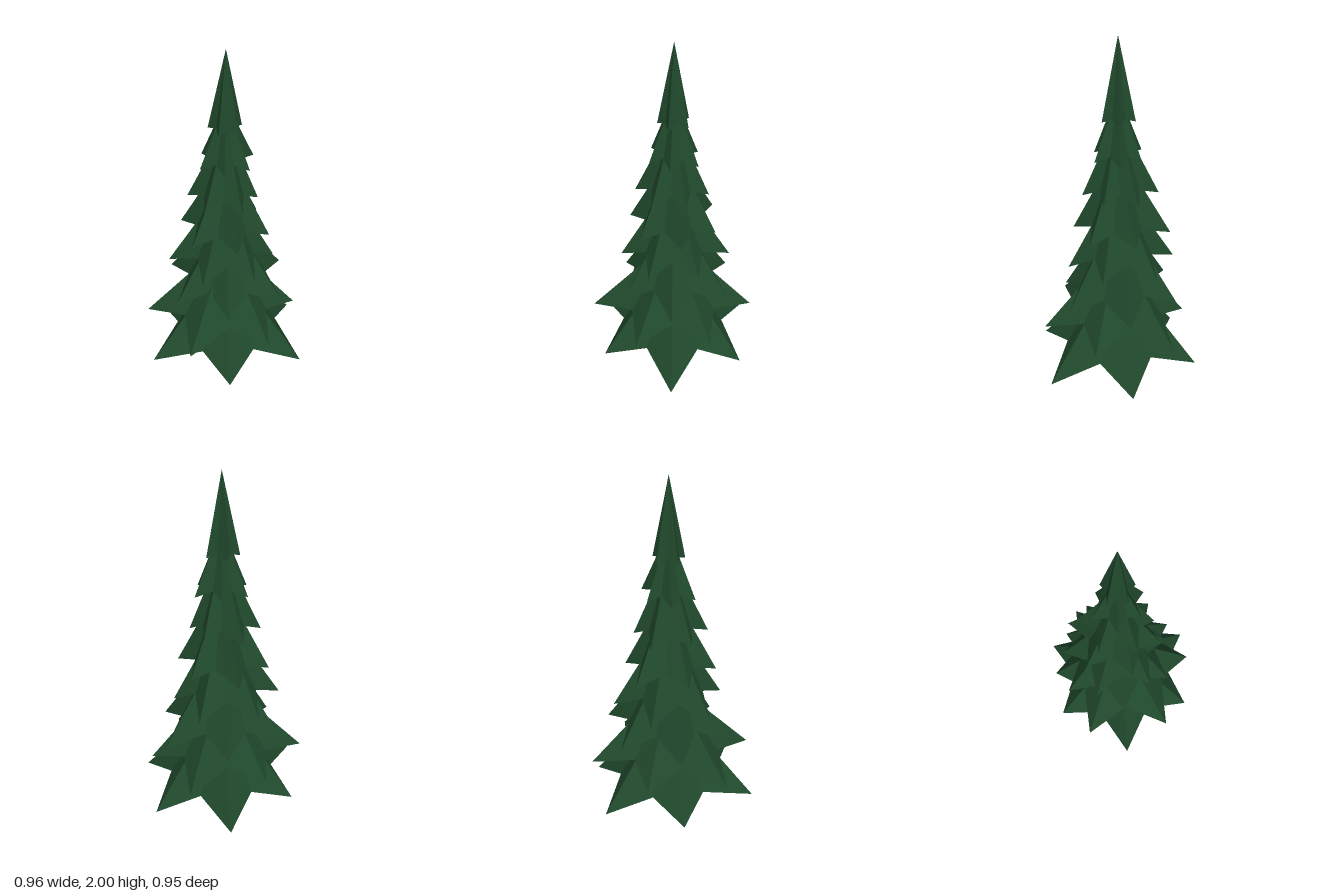
import * as THREE from 'three';

const AXIS = { x: 0.022, z: -0.025 };

// Each tier: tip height, valley lift, apex height, first tip angle (degrees), tip radii
const TIERS = [
  { y: 0.03, lift: 0.09, top: 0.62, turn: 18, radii: [0.478, 0.512, 0.475, 0.526, 0.459, 0.496], tipY: [0.005, 0.005, 0.04, 0.055, 0.04, 0.03] },
  { y: 0.25, lift: 0.075, top: 0.76, turn: 46, radii: [0.42, 0.442, 0.489, 0.485, 0.413, 0.474] },
  { y: 0.43, lift: 0.085, top: 1.0, turn: 18, radii: [0.395, 0.375, 0.33, 0.345, 0.385, 0.37] },
  { y: 0.645, lift: 0.08, top: 1.18, turn: 46, radii: [0.28, 0.29, 0.31, 0.34, 0.34, 0.33] },
  { y: 0.86, lift: 0.05, top: 1.37, turn: 6, radii: [0.255, 0.257, 0.255, 0.27, 0.275, 0.305] },
  { y: 1.085, lift: 0.05, top: 1.56, turn: 54, radii: [0.18, 0.2, 0.22, 0.22, 0.235, 0.2] },
  { y: 1.315, lift: 0.035, top: 1.7, turn: 24, radii: [0.17, 0.155, 0.145, 0.16, 0.165, 0.145] },
  { y: 1.53, lift: 0.02, top: 2.0, turn: 23, radii: [0.097, 0.095, 0.09, 0.1, 0.1] },
];

// Star-shaped cone with drooping tips and a deeply hollowed underside
function starCone({ y, lift, top, turn, radii, tipY }) {
  const n = radii.length;
  const rim = [];
  const add = (deg, r, h) => {
    const a = THREE.MathUtils.degToRad(deg);
    rim.push([Math.cos(a) * r, h, Math.sin(a) * r]);
  };
  radii.forEach((r, i) => {
    const next = radii[(i + 1) % n];
    const deg = turn + (i * 360) / n;
    add(deg, r, tipY ? tipY[i] : y);
    add(deg + 180 / n, (r + next) * 0.31, y + lift);
  });
  const apex = [0, top, 0];
  const hollow = [0, THREE.MathUtils.lerp(y + lift, top, 0.55), 0];
  const points = [];
  rim.forEach((p, i) => {
    const q = rim[(i + 1) % rim.length];
    points.push(...p, ...apex, ...q, ...p, ...q, ...hollow);
  });
  const geometry = new THREE.BufferGeometry();
  geometry.setAttribute('position', new THREE.Float32BufferAttribute(points, 3));
  geometry.computeVertexNormals(); // unshared corners give flat facets
  return geometry;
}

export function createModel() {
  const needles = new THREE.MeshStandardMaterial({ color: 0x20492c });
  needles.name = 'needleGreen';
  const bark = new THREE.MeshStandardMaterial({ color: 0x523a2c });
  bark.name = 'barkBrown';

  const tree = new THREE.Group();
  tree.name = 'firTree';

  // Tapered trunk
  const trunkShape = new THREE.CylinderGeometry(0.015, 0.053, 0.42, 6).toNonIndexed();
  trunkShape.computeVertexNormals();
  const trunk = new THREE.Mesh(trunkShape, bark);
  trunk.name = 'trunk';
  trunk.position.set(AXIS.x, 0.21, AXIS.z);
  tree.add(trunk);

  // Branch tiers from the ground to the pointed crown
  TIERS.forEach((tier, i) => {
    const mesh = new THREE.Mesh(starCone(tier), needles);
    mesh.name = i === TIERS.length - 1 ? 'crown' : `branchTier${i + 1}`;
    mesh.position.set(AXIS.x, 0, AXIS.z);
    tree.add(mesh);
  });

  return tree;
}
